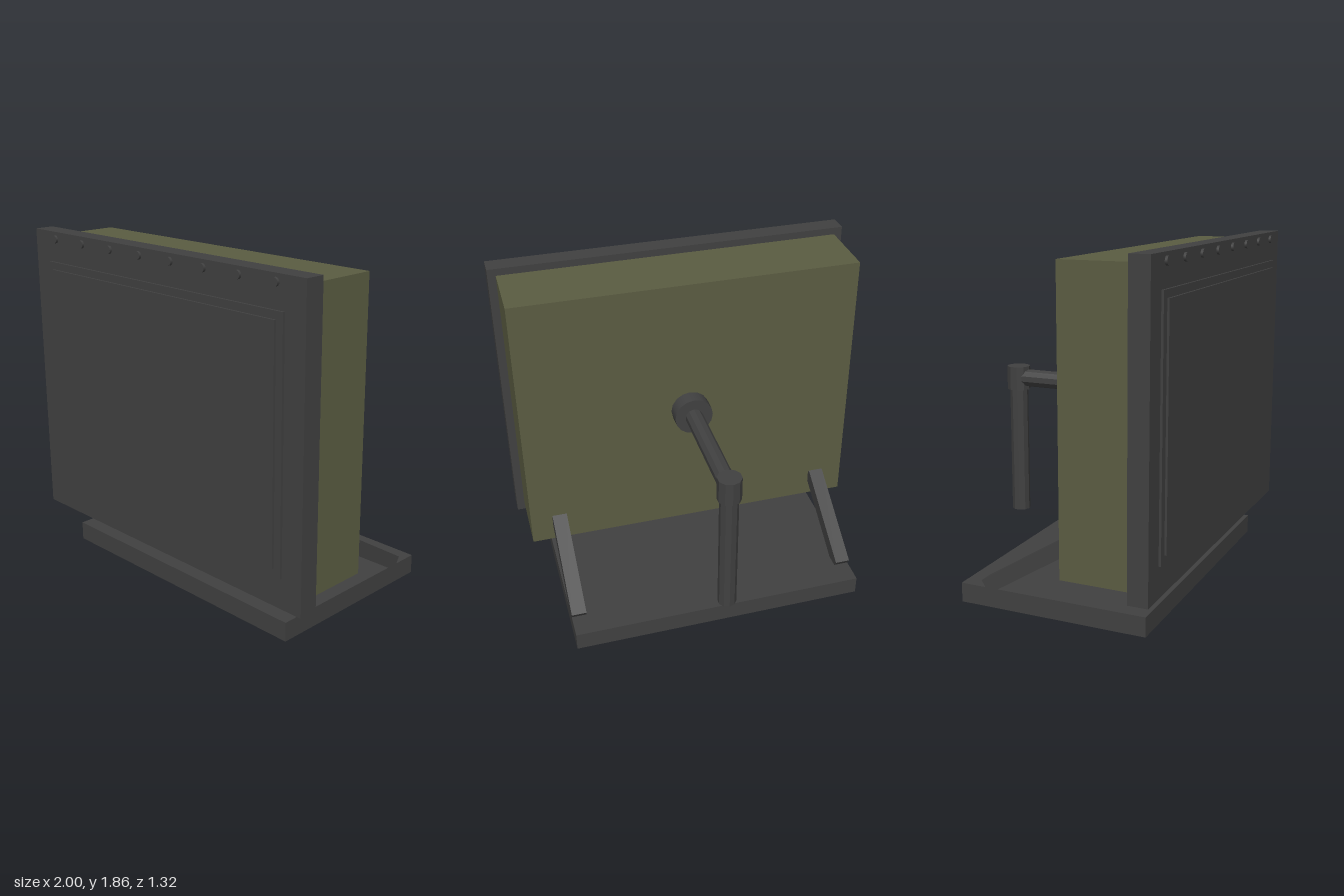
import * as THREE from 'three';

export function createModel() {
  const model = new THREE.Group();
  const dark = new THREE.MeshStandardMaterial({ color: 0x414141 });
  dark.name = 'dark grey';
  const olive = new THREE.MeshStandardMaterial({ color: 0x5b5d42 });
  olive.name = 'olive';

  const add = (name, geometry, material, x = 0, y = 0, z = 0) => {
    const mesh = new THREE.Mesh(geometry, material);
    mesh.name = name;
    mesh.position.set(x, y, z);
    model.add(mesh);
    return mesh;
  };
  // Box given by its width and its y and z limits, centred on x
  const block = (name, material, w, y0, y1, z0, z1) =>
    add(name, new THREE.BoxGeometry(w, y1 - y0, z1 - z0), material, 0, (y0 + y1) / 2, (z0 + z1) / 2);
  // Upright or z-aligned cylinder; low side counts are faceted
  const rod = (r, length, sides, alongZ, faceted = true) => {
    let g = new THREE.CylinderGeometry(r, r, length, sides);
    if (alongZ) g.rotateX(Math.PI / 2);
    if (faceted) {
      g = g.toNonIndexed();
      g.computeVertexNormals();
    }
    return g;
  };

  // Base and cabinet
  block('base', dark, 1.66, 0, 0.105, -0.485, 0.555);
  block('cabinet', olive, 1.91, 0.275, 1.815, 0.155, 0.53);

  // Front panel with raised frame and screen
  block('frontPanel', dark, 2, 0.23, 1.855, 0.53, 0.637);
  block('screenFrame', dark, 1.75, 0.395, 1.69, 0.63, 0.649);
  block('screen', dark, 1.666, 0.438, 1.65, 0.64, 0.66);

  // Row of studs along the top
  for (let i = 0; i < 8; i++) {
    add('stud', rod(0.022, 0.03, 10, true, false), dark, (i - 3.5) * 0.234, 1.815, 0.635);
  }

  // Slanted braces between base and cabinet
  for (const side of [-1, 1]) {
    const brace = add('brace', new THREE.BoxGeometry(0.083, 0.08, 0.595), dark, side * 0.789, 0.263, -0.09);
    brace.rotation.x = -0.558;
  }

  // Rear crank: mount, arm, joint and hanging handle
  add('crankMount', rod(0.108, 0.09, 16, true, false), dark, 0, 1.042, 0.113);
  add('crankArm', rod(0.05, 0.68, 10, true), dark, 0, 1.042, -0.25);
  add('crankJoint', rod(0.066, 0.135, 10, false), dark, 0, 1.042, -0.592);
  add('crankHandle', rod(0.052, 0.75, 10, false), dark, 0, 0.628, -0.592);

  return model;
}
